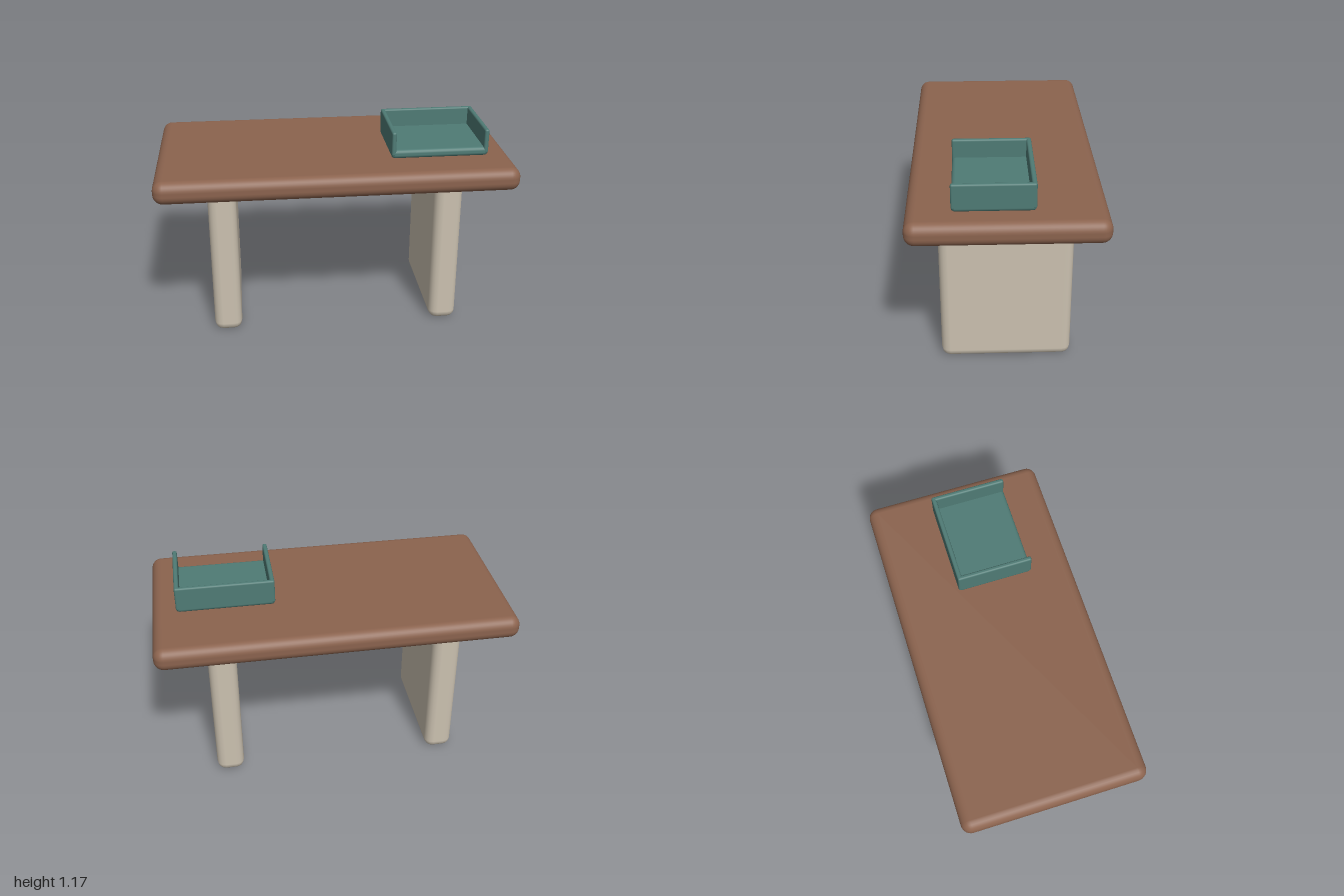
import * as THREE from 'three';
import { RoundedBoxGeometry } from 'three/addons/geometries/RoundedBoxGeometry.js';

const material = (name, color) => {
  const m = new THREE.MeshStandardMaterial({ color });
  m.name = name;
  return m;
};

export function createModel() {
  const wood = material('brown wood', 0x8b634e);
  const stone = material('pale stone', 0xcbc1b0);
  const teal = material('teal', 0x4f7b75);

  // Rounded block given by its extents along each axis
  const block = (name, mat, [x0, x1], [y0, y1], [z0, z1], radius, segments) => {
    const geometry = new RoundedBoxGeometry(x1 - x0, y1 - y0, z1 - z0, segments, radius);
    const mesh = new THREE.Mesh(geometry, mat);
    mesh.name = name;
    mesh.position.set((x0 + x1) / 2, (y0 + y1) / 2, (z0 + z1) / 2);
    return mesh;
  };

  const desk = new THREE.Group();
  desk.name = 'desk';

  // Thick top with softened edges
  desk.add(block('deskTop', wood, [-1, 1], [0.89, 1.02], [-0.517, 0.517], 0.055, 4));

  // Slab legs
  for (const [name, x] of [['leftLeg', 0.64], ['rightLeg', -0.64]]) {
    desk.add(block(name, stone, [x - 0.08, x + 0.08], [0, 0.89], [-0.362, 0.362], 0.05, 2));
  }

  // Paper tray, open at the front
  const tray = new THREE.Group();
  tray.name = 'tray';
  const [x0, x1, z0, z1, wall] = [0.315, 0.865, -0.147, 0.283, 0.026];
  tray.add(
    block('trayFloor', teal, [x0, x1], [1.02, 1.07], [z0, z1], 0.02, 2),
    block('trayBack', teal, [x0, x1], [1.035, 1.175], [z0, z0 + wall], 0.01, 2),
    block('trayLeftSide', teal, [x1 - wall, x1], [1.035, 1.175], [z0, z1], 0.01, 2),
    block('trayRightSide', teal, [x0, x0 + wall], [1.035, 1.175], [z0, z1], 0.01, 2),
  );
  desk.add(tray);

  return desk;
}
